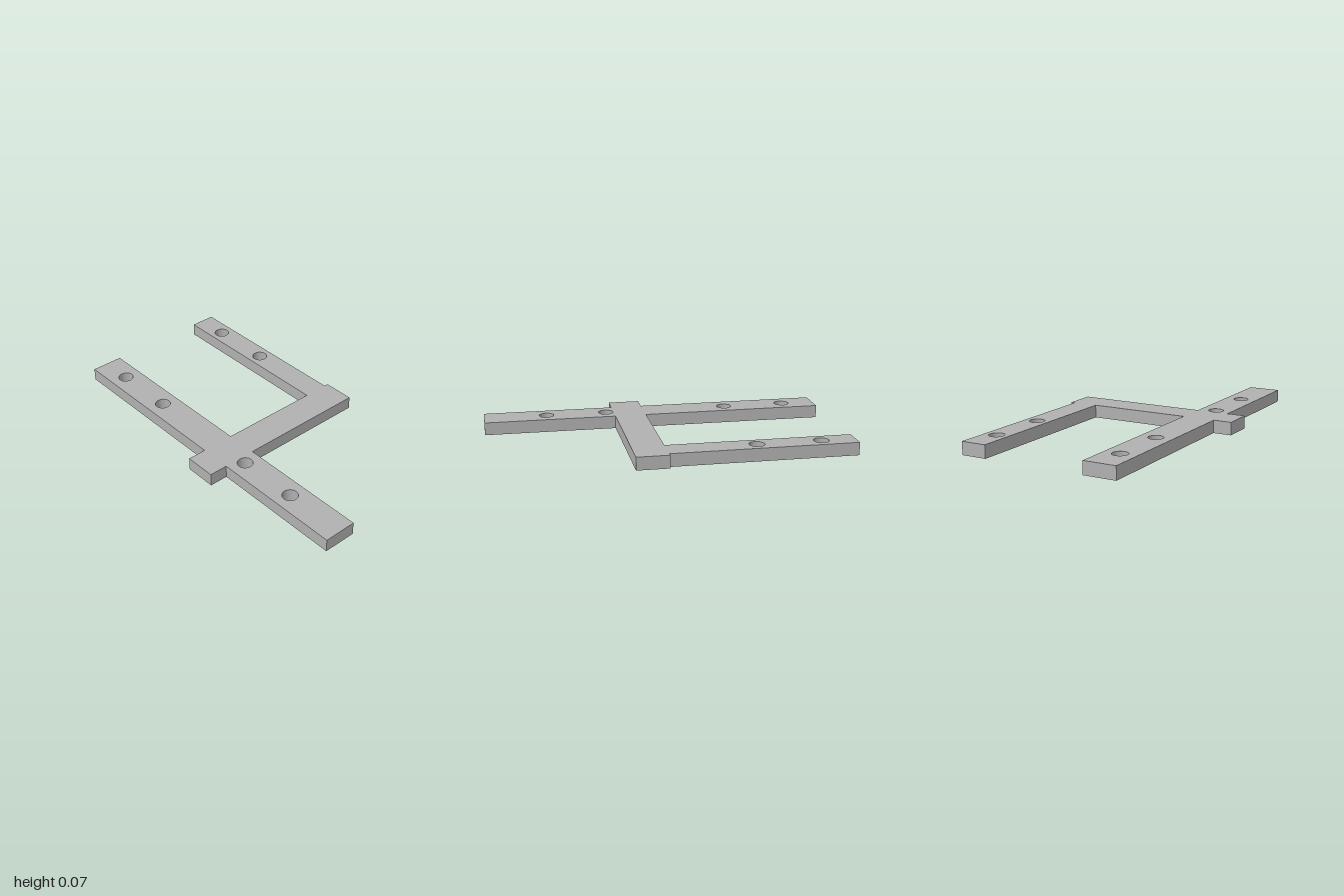
import * as THREE from 'three';
import { toCreasedNormals } from 'three/addons/utils/BufferGeometryUtils.js';

const THICKNESS = 0.074;
const HOLE_RADIUS = 0.043;

export function createModel() {
  const model = new THREE.Group();
  model.name = 'bracket';

  const grey = new THREE.MeshStandardMaterial({ color: 0xb0b0b0 });
  grey.name = 'plain grey';

  // Plan outline as x, z: a cross bar with a back arm and a full-length front arm
  const spine = [0.055, 0.237];
  const outline = [
    [spine[0], -0.527], [spine[1], -0.527],
    [spine[1], 0.232], [1, 0.232], [1, 0.42], [spine[1], 0.42],
    [spine[1], 0.527], [spine[0], 0.527],
    [spine[0], 0.42], [-1, 0.42], [-1, 0.232], [spine[0], 0.232],
    [spine[0], -0.356], [-1, -0.356], [-1, -0.503], [spine[0], -0.503],
  ];
  const shape = new THREE.Shape(outline.map(([x, z]) => new THREE.Vector2(x, z)));

  // Round through holes along both arms
  const rows = [
    { z: -0.429, xs: [-0.805, -0.441] },
    { z: 0.325, xs: [-0.805, -0.441, 0.283, 0.636] },
  ];
  for (const { z, xs } of rows) {
    for (const x of xs) {
      const hole = new THREE.Path();
      hole.absarc(x, z, HOLE_RADIUS, 0, Math.PI * 2, true);
      shape.holes.push(hole);
    }
  }

  // Lay the plate flat on the ground, keeping hole walls smooth and edges sharp
  const plate = new THREE.ExtrudeGeometry(shape, {
    depth: THICKNESS, bevelEnabled: false, curveSegments: 32,
  });
  plate.rotateX(Math.PI / 2);
  plate.translate(0, THICKNESS, 0);

  const mesh = new THREE.Mesh(toCreasedNormals(plate, Math.PI / 6), grey);
  mesh.name = 'bracketPlate';
  model.add(mesh);
  return model;
}
